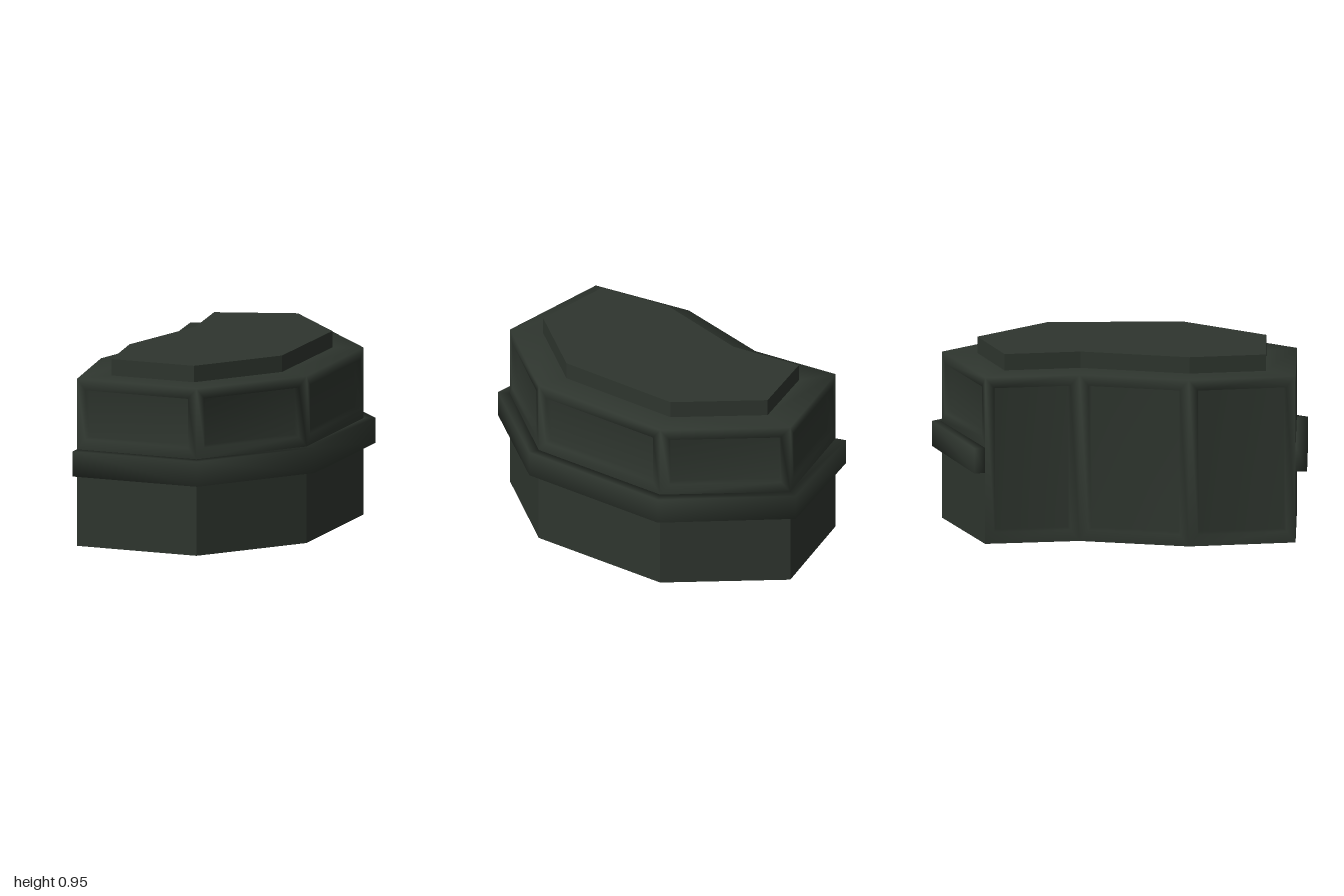
import * as THREE from 'three';
import { mergeVertices } from 'three/addons/utils/BufferGeometryUtils.js';

// Plan outlines as [x, z], clockwise seen from above
const BODY = [[-0.2, -0.945], [0.39, -0.645], [0.675, 0.1], [0.485, 0.725],
  [-0.14, 0.94], [-0.41, 0.46], [-0.475, -0.106], [-0.7, -0.535]];
const CAP = [[-0.17, -0.765], [0.27, -0.54], [0.51, 0.105], [0.36, 0.605],
  [-0.07, 0.755], [-0.26, 0.41], [-0.32, -0.155], [-0.505, -0.5]];
// Open belt path, from the rear corner round to the front corner
const BELT = [[-0.735, -0.58], [-0.2, -1], [0.43, -0.69], [0.73, 0.1], [0.53, 0.77], [-0.12, 0.995]];
const BELT_INNER = [BODY[7], ...BODY.slice(0, 5)];

const ROOF_Y = 0.865, CAP_Y = 0.95, BELT_LOW = 0.37, BELT_HIGH = 0.5;
const at = (p, y) => new THREE.Vector3(p[0], y, p[1]);

// Collects quads (counter-clockwise from outside) into one geometry
function quadGeometry(quads, smooth) {
  const pos = [];
  for (const [a, b, c, d] of quads)
    for (const v of [a, b, c, a, c, d]) pos.push(v.x, v.y, v.z);
  let g = new THREE.BufferGeometry();
  g.setAttribute('position', new THREE.Float32BufferAttribute(pos, 3));
  if (smooth) g = mergeVertices(g, 1e-4);
  g.computeVertexNormals();
  return g;
}

// Wall between two plan points with a framed, recessed panel
function recessedWall(p, q, low, high, panelLow, panelHigh) {
  const margin = 0.047, depth = 0.032, taper = 0.008;
  const dir = at(q, 0).sub(at(p, 0));
  const length = dir.length();
  dir.normalize();
  const inward = new THREE.Vector3(-dir.z, 0, dir.x);
  const rect = (m, y0, y1, d) => [[m, y0], [m, y1], [length - m, y1], [length - m, y0]]
    .map(([t, y]) => at(p, y).addScaledVector(dir, t).addScaledVector(inward, d));
  const rings = [
    rect(0, low, high, 0),
    rect(margin, panelLow, panelHigh, 0),
    rect(margin + taper, panelLow + taper, panelHigh - taper, depth),
  ];
  const quads = [rings[2]];
  for (let k = 0; k < 2; k++)
    for (let i = 0; i < 4; i++) {
      const j = (i + 1) % 4;
      quads.push([rings[k][i], rings[k][j], rings[k + 1][j], rings[k + 1][i]]);
    }
  return quads;
}

const outline = (pts) => new THREE.Shape(pts.map(([x, z]) => new THREE.Vector2(x, z)));

export function createModel() {
  const group = new THREE.Group();
  const darkGreen = new THREE.MeshStandardMaterial({ color: 0x2e352e });
  darkGreen.name = 'darkGreen';
  const add = (name, geometry) => {
    const mesh = new THREE.Mesh(geometry, darkGreen);
    mesh.name = name;
    group.add(mesh);
  };

  // Upper windows, tall inner-side panels and the roof rim share a soft shell
  const shell = [], lower = [];
  BODY.forEach((p, i) => {
    const j = (i + 1) % BODY.length, q = BODY[j];
    const innerSide = i >= 4 && i <= 6;
    if (innerSide) {
      shell.push(...recessedWall(p, q, 0, ROOF_Y, 0.06, 0.81));
    } else {
      shell.push(...recessedWall(p, q, BELT_HIGH, ROOF_Y, 0.555, 0.81));
      lower.push([at(p, 0), at(p, BELT_HIGH), at(q, BELT_HIGH), at(q, 0)]);
    }
    shell.push([at(p, ROOF_Y), at(CAP[i], ROOF_Y), at(CAP[j], ROOF_Y), at(q, ROOF_Y)]);
  });
  add('panelledShell', quadGeometry(shell, true));
  add('lowerWalls', quadGeometry(lower, false));

  // Floor
  add('floor', new THREE.ShapeGeometry(outline(BODY)).rotateX(Math.PI / 2));

  // Raised roof cap
  const cap = new THREE.ExtrudeGeometry(outline(CAP), { depth: CAP_Y - ROOF_Y, bevelEnabled: false });
  add('roofCap', cap.rotateX(Math.PI / 2).translate(0, CAP_Y, 0));

  // Belt: a rectangular section carried round the outer walls, closed at both ends
  const sections = BELT.map((p, i) => [at(p, BELT_LOW), at(p, BELT_HIGH),
    at(BELT_INNER[i], BELT_HIGH), at(BELT_INNER[i], BELT_LOW)]);
  const belt = [[...sections[0]].reverse(), sections[sections.length - 1]];
  for (let i = 0; i < sections.length - 1; i++)
    for (let k = 0; k < 4; k++) {
      const n = (k + 1) % 4, a = sections[i], b = sections[i + 1];
      belt.push([a[k], a[n], b[n], b[k]]);
    }
  add('belt', quadGeometry(belt, true));

  return group;
}
